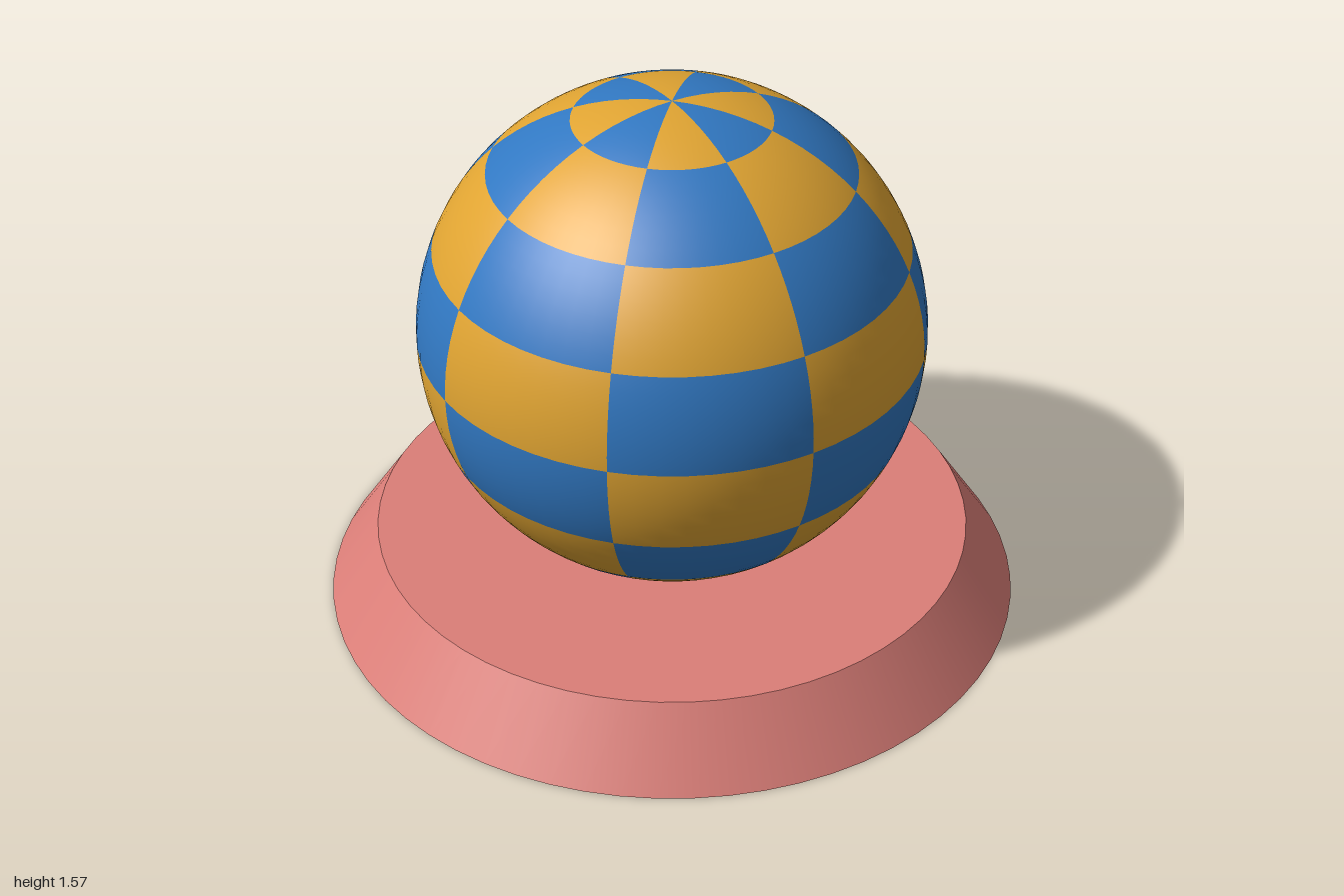
import * as THREE from 'three';
import { mergeGeometries } from 'three/addons/utils/BufferGeometryUtils.js';

export function createModel() {
  const model = new THREE.Group();
  model.name = 'checkeredBallOnStand';

  const material = (name, color) => {
    const m = new THREE.MeshStandardMaterial({ color });
    m.name = name;
    return m;
  };
  const pink = material('dusty pink', 0xdb7e78);
  const blue = material('blue', 0x3178c2);
  const orange = material('orange', 0xe0a432);

  // Tapered round stand
  const baseHeight = 0.214;
  const base = new THREE.Mesh(new THREE.CylinderGeometry(0.857, 1, baseHeight, 64), pink);
  base.name = 'stand';
  base.position.y = baseHeight / 2;
  model.add(base);

  // Ball: 8 bands by 8 sectors of curved patches in alternating colours
  const radius = 0.714, count = 8;
  const sector = (Math.PI * 2) / count, band = Math.PI / count;
  const patches = [[], []];
  for (let i = 0; i < count; i++) {
    for (let j = 0; j < count; j++) {
      patches[(i + j) % 2].push(
        new THREE.SphereGeometry(radius, 8, 6, j * sector, sector, i * band, band));
    }
  }

  const ball = new THREE.Group();
  ball.name = 'ball';
  ball.position.y = 0.857;
  [['blueChecks', blue], ['orangeChecks', orange]].forEach(([name, mat], k) => {
    const mesh = new THREE.Mesh(mergeGeometries(patches[k]), mat);
    mesh.name = name;
    ball.add(mesh);
  });
  model.add(ball);

  return model;
}
